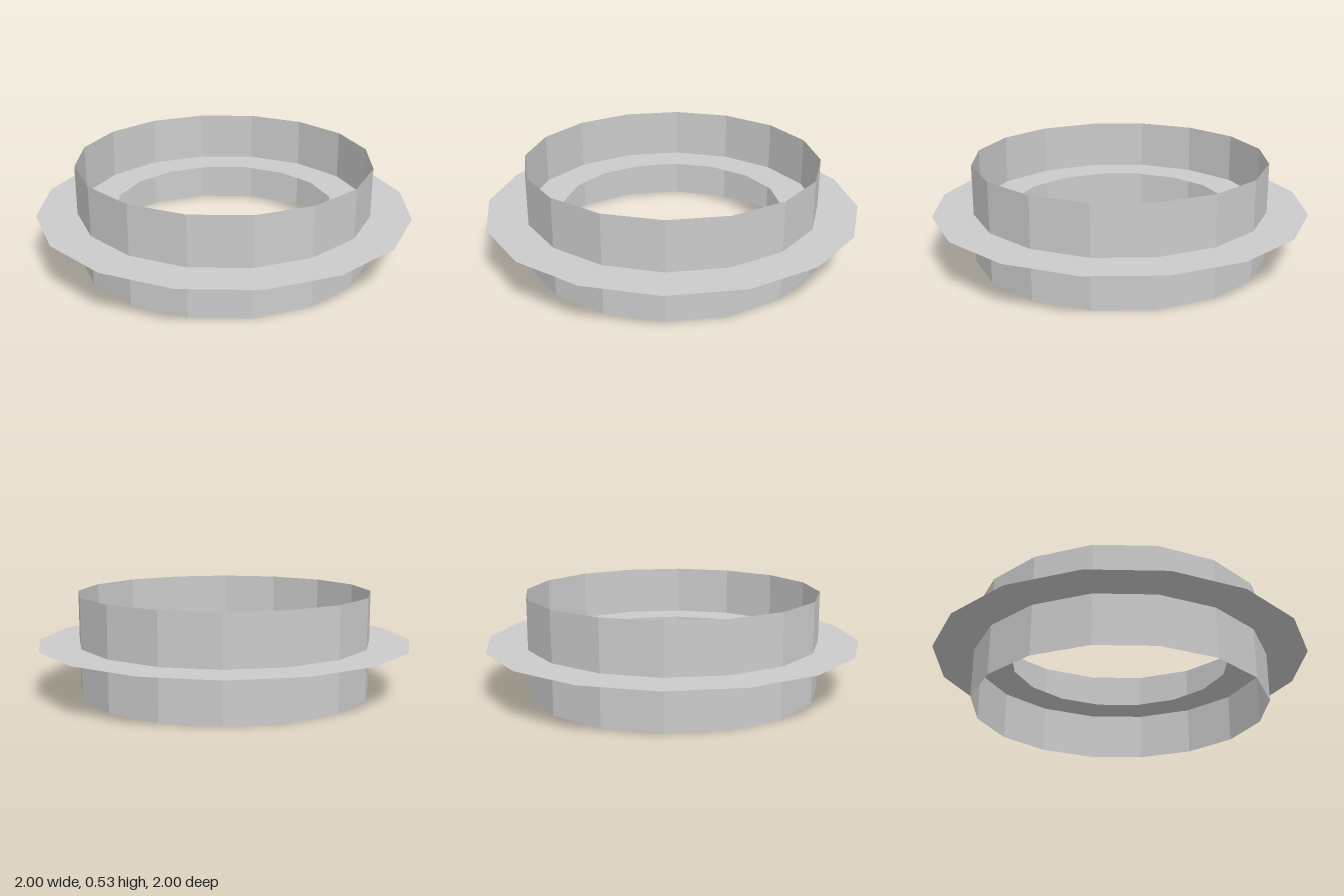
import * as THREE from 'three';

const SIDES = 16;
const HEIGHT = 0.53;

export function createModel() {
  const group = new THREE.Group();
  const material = new THREE.MeshStandardMaterial({
    color: 0xcccccc,
    flatShading: true,
    side: THREE.DoubleSide,
  });

  // Thin upright band, open at top and bottom
  const band = new THREE.Mesh(
    new THREE.CylinderGeometry(0.785, 0.785, HEIGHT, SIDES, 1, true),
    material
  );
  band.name = 'band';
  band.position.y = HEIGHT / 2;

  // Flat ring crossing the band at mid height
  const flatRing = new THREE.Mesh(
    new THREE.RingGeometry(0.59, 1, SIDES).rotateX(-Math.PI / 2),
    material
  );
  flatRing.name = 'flatRing';
  flatRing.position.y = HEIGHT / 2;

  group.add(band, flatRing);
  return group;
}
